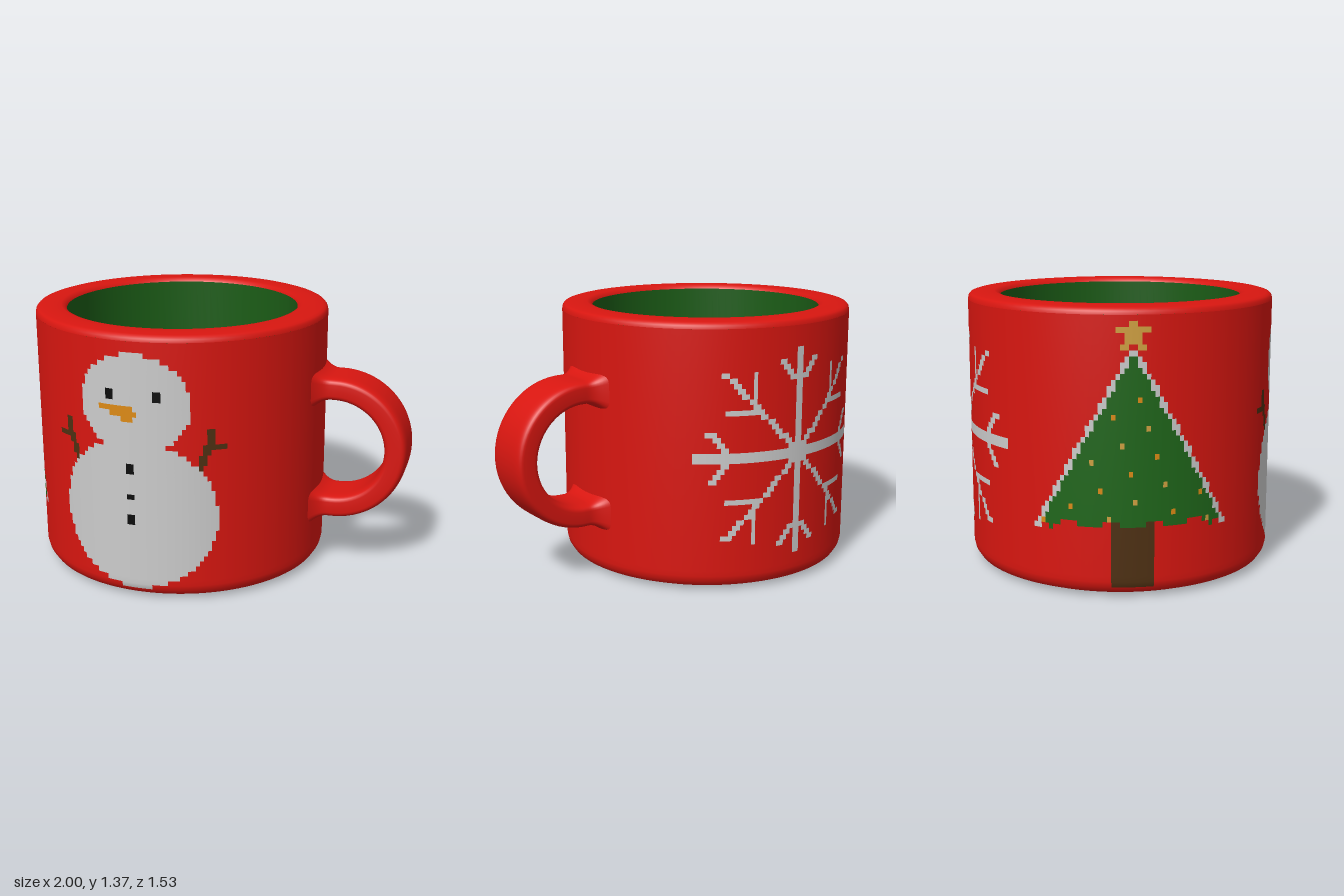
import * as THREE from 'three';

const R = 0.767, CX = -0.233, WALL_TOP = 1.33, CORNER = 0.085;
const COLORS = {
  red: 0xd81610, white: 0xd4d4d4, black: 0x0a0a0a, orange: 0xdc8a14,
  yellow: 0xd0a040, bark: 0x4e3012, pine: 0x1f661a, liner: 0x1b5c16, drink: 0x553212,
};
const material = (key) => new THREE.MeshStandardMaterial({ color: COLORS[key], side: THREE.DoubleSide });

function addMesh(parent, geometry, key, name) {
  const mesh = new THREE.Mesh(geometry, material(key));
  mesh.name = name;
  parent.add(mesh);
  return mesh;
}

// Shape tests in wall coordinates (u = arc length from the motif centre, v = height)
const box = (u, v, u0, u1, v0, v1) => u >= u0 && u <= u1 && v >= v0 && v <= v1;
const oval = (u, v, cv, ru, rv) => (u / ru) ** 2 + ((v - cv) / rv) ** 2 < 1;
function line(u, v, u0, v0, u1, v1, half) {
  const du = u1 - u0, dv = v1 - v0;
  const t = Math.min(1, Math.max(0, ((u - u0) * du + (v - v0) * dv) / (du * du + dv * dv)));
  return Math.hypot(u - u0 - t * du, v - v0 - t * dv) < half;
}

function snowman(u, v) {
  const a = Math.abs(u);
  if (box(a, v, 0.105, 0.148, 1.04, 1.095)) return 'black';
  for (const [y, h] of [[0.685, 0.025], [0.55, 0.02], [0.425, 0.027]])
    if (box(u, v, -0.04, 0, y - h, y + h)) return 'black';
  if (box(u, v, -0.19, 0.005, 0.985, 1.011) || box(u, v, -0.12, 0.025, 0.959, 0.985)
    || box(u, v, -0.055, 0.01, 0.933, 0.959)) return 'orange';
  if (oval(u, v, 1.02, 0.285, 0.25) || (oval(u, v, 0.45, 0.418, 0.39))) return 'white';
  if (box(a, v, 0.37, 0.4, 0.8, 0.905) || box(a, v, 0.35, 0.47, 0.8, 0.833)
    || line(a, v, 0.315, 0.67, 0.37, 0.81, 0.018)) return 'bark';
  return null;
}

function snowflake(u, v) {
  const a = Math.abs(u), b = Math.abs(v - 0.69);
  const hit = box(a, b, 0, 0.56, 0, 0.026) || box(a, b, 0, 0.017, 0, 0.53)
    || box(a, b, 0, 0.045, 0, 0.05)
    || line(a, b, 0, 0, 0.4, 0.42, 0.015)
    || box(a, b, 0.245, 0.27, 0.25, 0.44) || box(a, b, 0.25, 0.4, 0.22, 0.246)
    || line(a, b, 0.38, 0.02, 0.48, 0.13, 0.016)
    || line(a, b, 0.01, 0.36, 0.11, 0.47, 0.014);
  return hit ? 'white' : null;
}

function tree(u, v) {
  const a = Math.abs(u);
  // Star on the tip
  if (line(a, v, 0, 1.24, 0, 1.3, 0.018) || line(a, v, 0, 1.25, 0.06, 1.255, 0.016)
    || line(a, v, 0, 1.24, 0.045, 1.185, 0.018)) return 'yellow';
  // Branches with a ragged hem, snowy outer edges and small lights
  const edge = 0.49 * (1.2 - v) / 0.89;
  const hem = 0.33 + 0.035 * Math.abs(Math.sin(u * 16));
  if (v < 1.2 && v > 0.31 && a < edge) {
    const fringe = edge - 0.026 - 0.025 * ((v * 4.2) % 1);
    if (a > edge - 0.026) return 'white';
    if (v > hem && a < fringe + 0.02) {
      const i = Math.round(u / 0.02), j = Math.round(v / 0.0266);
      if ((i * 7 + j * 11) % 41 === 0) return (i + j) % 2 ? 'yellow' : 'orange';
      return 'pine';
    }
  }
  return box(a, v, 0, 0.095, 0.045, 0.38) ? 'bark' : null;
}

const MOTIFS = [[0, snowman], [Math.PI, snowflake], [-Math.PI / 2, tree]];
function wallColor(theta, v) {
  for (const [centre, motif] of MOTIFS) {
    const d = Math.atan2(Math.sin(theta - centre), Math.cos(theta - centre));
    if (Math.abs(d) < Math.PI / 4) {
      const key = motif(d * R, v);
      if (key) return key;
    }
  }
  return 'red';
}

// Outer wall: a grid of curved cells, gathered by colour
function buildWall(parent) {
  const cols = 240, rows = 50, cells = {};
  const corner = (theta, y) => {
    const k = Math.max(0, CORNER - y) / CORNER;
    const c = Math.sqrt(1 - k * k), r = R - CORNER + CORNER * c;
    const s = Math.sin(theta), z = Math.cos(theta);
    return { p: [CX + r * s, y, r * z], n: [c * s, -k, c * z] };
  };
  for (let j = 0; j < rows; j++) {
    for (let i = 0; i < cols; i++) {
      const t0 = i / cols * 2 * Math.PI, t1 = (i + 1) / cols * 2 * Math.PI;
      const y0 = j / rows * WALL_TOP, y1 = (j + 1) / rows * WALL_TOP;
      const key = wallColor((t0 + t1) / 2, (y0 + y1) / 2);
      const cell = cells[key] ??= { pos: [], nor: [] };
      const [a, b, c, d] = [corner(t0, y0), corner(t1, y0), corner(t1, y1), corner(t0, y1)];
      for (const q of [a, b, c, a, c, d]) {
        cell.pos.push(...q.p);
        cell.nor.push(...q.n);
      }
    }
  }
  const names = {
    red: 'outerWall', white: 'snowPattern', black: 'eyesAndButtons', orange: 'carrotAndLights',
    yellow: 'starAndLights', bark: 'twigsAndTrunk', pine: 'treePattern',
  };
  for (const key in cells) {
    const g = new THREE.BufferGeometry();
    g.setAttribute('position', new THREE.Float32BufferAttribute(cells[key].pos, 3));
    g.setAttribute('normal', new THREE.Float32BufferAttribute(cells[key].nor, 3));
    addMesh(parent, g, key, names[key]);
  }
}

// Handle: rounded rectangle swept along a D-shaped path, flaring into the wall
function handleGeometry() {
  const cx = 0.62, cy = 0.66, r = 0.32, sides = 40, path = [];
  const straight = 10, arc = 40, startX = 0.495;
  for (let i = 0; i < straight; i++) path.push([startX + (cx - startX) * i / straight, cy + r, Math.PI / 2]);
  for (let i = 0; i <= arc; i++) {
    const f = Math.PI * (0.5 - i / arc);
    path.push([cx + r * Math.cos(f), cy + r * Math.sin(f), f]);
  }
  for (let i = straight - 1; i >= 0; i--) path.push([startX + (cx - startX) * i / straight, cy - r, -Math.PI / 2]);

  const pos = [], index = [];
  const soft = (x) => Math.sign(x) * Math.abs(x) ** 0.4;
  path.forEach(([x, y, f], i) => {
    const flare = 0.07 * Math.max(0, (0.6 - x) / 0.105) ** 2;
    for (let j = 0; j < sides; j++) {
      const a = j / sides * 2 * Math.PI;
      const n = (0.06 + flare * 0.8) * soft(Math.cos(a)), z = (0.14 + flare) * soft(Math.sin(a));
      pos.push(x + n * Math.cos(f), y + n * Math.sin(f), z);
      if (i === path.length - 1) continue;
      const k = i * sides, m = (j + 1) % sides;
      index.push(k + j, k + m, k + sides + j, k + m, k + sides + m, k + sides + j);
    }
  });
  const g = new THREE.BufferGeometry();
  g.setAttribute('position', new THREE.Float32BufferAttribute(pos, 3));
  g.setIndex(index);
  g.computeVertexNormals();
  return g;
}

export function createModel() {
  const mug = new THREE.Group();
  mug.name = 'mug';
  buildWall(mug);

  // Thick rounded rim and inner lining
  const lathe = (pts) => new THREE.LatheGeometry(pts.map(([x, y]) => new THREE.Vector2(x, y)), 96);
  const rim = [[R, WALL_TOP], [0.764, 1.346], [0.755, 1.357], [0.738, 1.362], [0.69, 1.367],
    [0.635, 1.366], [0.615, 1.36], [0.606, 1.345]];
  addMesh(mug, lathe(rim), 'red', 'rim').position.x = CX;
  addMesh(mug, lathe([[0.606, 1.345], [0.606, 0.93]]), 'liner', 'innerWall').position.x = CX;

  // Drink surface
  const drink = addMesh(mug, new THREE.CircleGeometry(0.606, 96), 'drink', 'drink');
  drink.rotation.x = -Math.PI / 2;
  drink.position.set(CX, 0.93, 0);

  addMesh(mug, handleGeometry(), 'red', 'handle');
  return mug;
}
